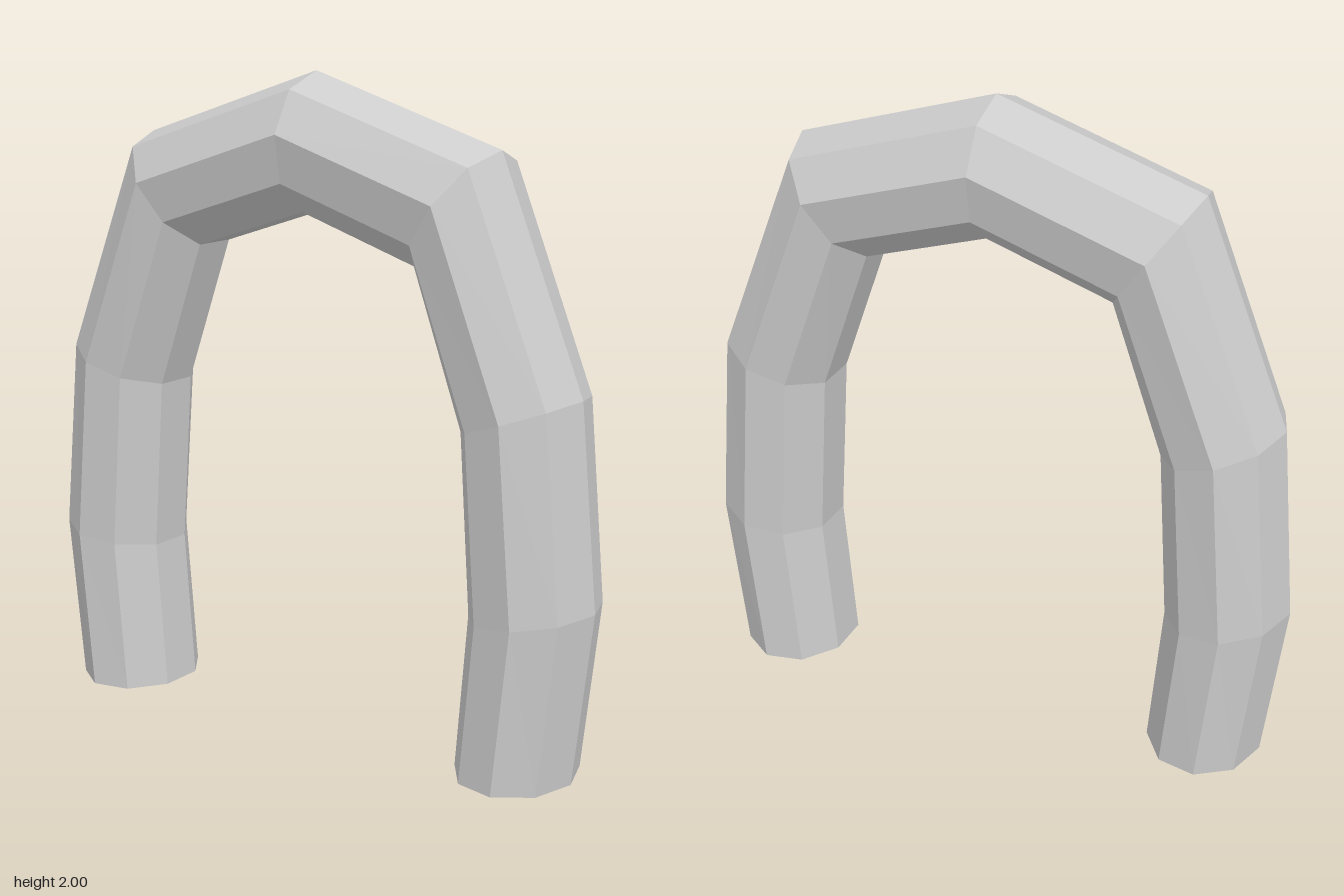
import * as THREE from 'three';

const SIDES = 9;
const RADIUS = 0.21; // half width across x

// Half of the arch: [outer z, outer y, inner z, inner y] from foot to crown
const HALF = [
  [0.897, 0, 0.551, 0],
  [0.955, 0.525, 0.588, 0.472],
  [0.897, 1.13, 0.551, 1.01],
  [0.625, 1.8, 0.388, 1.467],
  [0, 2, 0, 1.593],
];

export function createModel() {
  // Mirror the half profile over the crown to the other foot
  const back = HALF.slice(0, -1).reverse().map(([oz, oy, iz, iy]) => [-oz, oy, -iz, iy]);
  const stations = [...HALF, ...back];

  // Nine-sided ring at each station, one corner on the outer edge
  const span = 1 - Math.cos((Math.floor(SIDES / 2) * 2 * Math.PI) / SIDES);
  const positions = [];
  for (const [oz, oy, iz, iy] of stations) {
    for (let j = 0; j < SIDES; j++) {
      const a = (j / SIDES) * Math.PI * 2;
      const t = (1 - Math.cos(a)) / span;
      positions.push(RADIUS * Math.sin(a), oy + (iy - oy) * t, oz + (iz - oz) * t);
    }
  }

  // Skin between neighbouring rings; both feet stay open
  const index = [];
  for (let i = 0; i < stations.length - 1; i++) {
    for (let j = 0; j < SIDES; j++) {
      const k = (j + 1) % SIDES;
      const a = i * SIDES + j, b = i * SIDES + k;
      const c = a + SIDES, d = b + SIDES;
      index.push(a, b, c, b, d, c);
    }
  }

  const indexed = new THREE.BufferGeometry();
  indexed.setAttribute('position', new THREE.Float32BufferAttribute(positions, 3));
  indexed.setIndex(index);
  const geometry = indexed.toNonIndexed();
  geometry.computeVertexNormals();

  const material = new THREE.MeshStandardMaterial({
    color: 0xcccccc, flatShading: true, side: THREE.DoubleSide,
  });
  const arch = new THREE.Mesh(geometry, material);
  arch.name = 'archTube';

  const group = new THREE.Group();
  group.name = 'arch';
  group.add(arch);
  return group;
}
